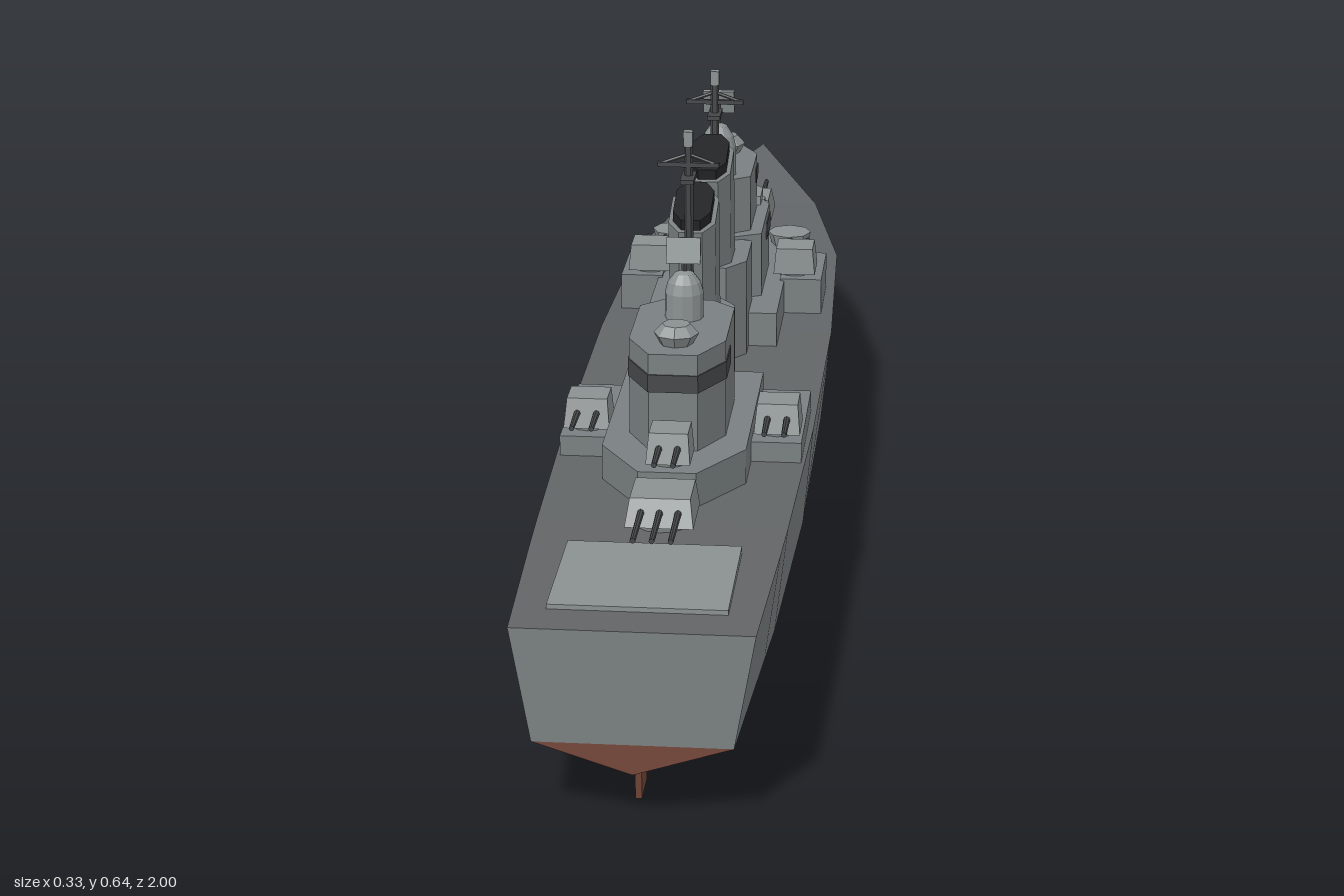
import * as THREE from 'three';

const mat = (color) => new THREE.MeshStandardMaterial({ color, flatShading: true });
const GREY = mat(0x7a8081), DECK = mat(0x626567), LIGHT = mat(0x8b9191), DARK = mat(0x45484a),
  BLACK = mat(0x232425), RED = mat(0x74463a);

export function createModel() {
  const root = new THREE.Group();
  const add = (name, geo, material, x = 0, y = 0, z = 0, parent = root) => {
    const m = new THREE.Mesh(geo, material);
    m.name = name;
    m.position.set(x, y, z);
    parent.add(m);
    return m;
  };
  const box = (name, w, h, d, x, y, z, material = GREY, parent = root) =>
    add(name, new THREE.BoxGeometry(w, h, d), material, x, y, z, parent);

  // Prism over a plan outline: half is a list of [x, z], mirrored across x = 0
  const prismGeo = (half, y0, y1) => {
    const pts = [...half, ...half.slice().reverse().map(([x, z]) => [-x, z])];
    const shape = new THREE.Shape(pts.map(([x, z]) => new THREE.Vector2(x, -z)));
    return new THREE.ExtrudeGeometry(shape, { depth: y1 - y0, bevelEnabled: false })
      .rotateX(-Math.PI / 2).translate(0, y0, 0);
  };
  const prism = (name, half, y0, y1, material = GREY) => add(name, prismGeo(half, y0, y1), material);
  // Rectangle with chamfered corners, from z0 to z1, chamfer lengths c0 and c1
  const chamfered = (w, z0, z1, c0, c1, n = 0.5) => [[w * n, z0], [w, z0 + c0], [w, z1 - c1], [w * n, z1]];

  // ---- Hull: stations run from bow to stern
  // deck z, deck y, deck half width, waterline z, waterline half width, keel z, keel y
  const stations = [
    [-1, 0.255, 0, -0.975, 0, -1, 0],
    [-0.72, 0.237, 0.105, -0.72, 0.087, -0.72, 0],
    [-0.46, 0.234, 0.154, -0.46, 0.135, -0.46, 0],
    [-0.1, 0.233, 0.166, -0.1, 0.152, -0.1, 0],
    [0.3, 0.234, 0.165, 0.3, 0.152, 0.3, 0],
    [0.66, 0.237, 0.156, 0.66, 0.14, 0.66, 0],
    [0.75, 0.238, 0.153, 0.75, 0.134, 0.75, 0.04],
    [1, 0.242, 0.143, 1, 0.118, 1, 0.062],
  ].map(([dz, dy, dw, wz, ww, kz, ky]) => ({ deck: [dw, dy, dz], water: [ww, 0.1, wz], keel: [0, ky, kz] }));
  const flip = ([x, y, z]) => [-x, y, z];
  const surface = (name, quads, material) => {
    const pos = quads.flatMap(([a, b, c, d]) => [a, b, c, a, c, d]).flat();
    const g = new THREE.BufferGeometry();
    g.setAttribute('position', new THREE.Float32BufferAttribute(pos, 3));
    g.computeVertexNormals();
    return add(name, g, material);
  };
  const strip = (up, low) => stations.slice(1).flatMap((s, i) => {
    const p = stations[i], q = [p[up], s[up], s[low], p[low]];
    return [q, q.map(flip).reverse()];
  });
  const end = stations[stations.length - 1];
  const transom = (up, low) => [flip(end[up]), flip(end[low]), end[low], end[up]];
  surface('upperHull', [...strip('deck', 'water'), transom('deck', 'water')], GREY);
  surface('lowerHull', [...strip('water', 'keel'), transom('water', 'keel')], RED);
  surface('deck', stations.slice(1).map((s, i) => {
    const p = stations[i];
    return [flip(p.deck), flip(s.deck), s.deck, p.deck];
  }), DECK);
  const rudder = new THREE.Shape([[-0.945, 0.075], [-0.935, 0], [-0.885, 0], [-0.87, 0.075]]
    .map(([z, y]) => new THREE.Vector2(z, y)));
  add('rudder', new THREE.ExtrudeGeometry(rudder, { depth: 0.008, bevelEnabled: false })
    .translate(0, 0, -0.004).rotateY(Math.PI / 2), RED);
  box('aftHatch', 0.212, 0.01, 0.195, 0, 0.242, 0.843, LIGHT);

  // ---- Gun turrets, local barrels point along +z
  const turret = (name, x, y, z, w, h, d, dir, barrels, len, baseY) => {
    const g = new THREE.Group();
    g.name = name;
    g.position.set(x, y, z);
    if (dir < 0) g.rotation.y = Math.PI;
    const geo = new THREE.BoxGeometry(w, h, d), p = geo.attributes.position;
    for (let i = 0; i < p.count; i++) {
      if (p.getY(i) < 0) continue;
      p.setX(i, p.getX(i) * 0.88);
      p.setZ(i, p.getZ(i) > 0 ? d * 0.32 : -d * 0.46);
    }
    add('turretHouse', geo, LIGHT, 0, h / 2, 0, g);
    for (let i = 0; i < barrels; i++) {
      const bx = (i - (barrels - 1) / 2) * w * (barrels === 3 ? 0.27 : 0.42);
      add('barrel', new THREE.CylinderGeometry(0.0035, 0.0045, len, 8).rotateX(Math.PI / 2),
        DARK, bx, h * 0.5, d * 0.35 + len / 2, g);
    }
    const bh = y - baseY;
    add('barbette', new THREE.CylinderGeometry(w * 0.4, w * 0.4, bh, 12), GREY, 0, -bh / 2, 0, g);
    root.add(g);
  };
  turret('forwardMainTurret', 0, 0.243, -0.645, 0.085, 0.032, 0.088, -1, 3, 0.09, 0.225);
  turret('raisedMainTurret', 0, 0.266, -0.51, 0.085, 0.035, 0.088, -1, 3, 0.09, 0.225);
  turret('aftMainTurret', 0, 0.247, 0.655, 0.085, 0.033, 0.088, 1, 3, 0.095, 0.225);
  turret('forwardSmallTurret', 0, 0.288, -0.395, 0.056, 0.038, 0.06, -1, 2, 0.06, 0.27);
  turret('aftSmallTurret', 0, 0.288, 0.56, 0.056, 0.038, 0.06, 1, 2, 0.06, 0.27);
  for (const s of [-1, 1]) {
    turret('forwardSideTurret', s * 0.106, 0.29, -0.218, 0.06, 0.038, 0.064, -1, 2, 0.055, 0.27);
    turret('aftSideTurret', s * 0.124, 0.267, 0.385, 0.06, 0.038, 0.06, 1, 2, 0.06, 0.25);
    box('forwardSponson', 0.06, 0.055, 0.13, s * 0.116, 0.2575, -0.245);
    box('aftSponson', 0.07, 0.03, 0.2, s * 0.122, 0.247, 0.33);
    // Light gun tubs beside the superstructure
    add('gunTub', new THREE.CylinderGeometry(0.032, 0.026, 0.02, 8), LIGHT, s * 0.087, 0.29, -0.365);
  }

  // ---- Aft superstructure
  prism('aftDeckhouse', chamfered(0.092, 0.217, 0.6, 0, 0.09, 0.4), 0.225, 0.282);
  prism('aftTower', chamfered(0.062, 0.3, 0.522, 0.03, 0.06), 0.28, 0.41);
  prism('aftWindowBand', chamfered(0.0635, 0.40, 0.524, 0, 0.061, 0.5), 0.36, 0.383, DARK);
  prism('aftFunnelBase', chamfered(0.052, 0.165, 0.325, 0.035, 0.01), 0.225, 0.37);

  // ---- Forward superstructure
  prism('forwardDeckhouse', [[0.08, -0.43], [0.115, -0.4], [0.117, -0.36], [0.092, -0.32], [0.092, -0.03]], 0.225, 0.282);
  prism('bridgeBase', chamfered(0.064, -0.33, -0.09, 0.07, 0.02, 0.4), 0.28, 0.375);
  prism('bridgeWindowBand', chamfered(0.0655, -0.332, -0.2, 0.07, 0, 0.4), 0.338, 0.362, DARK);
  prism('bridge', chamfered(0.047, -0.295, -0.105, 0.05, 0.02, 0.4), 0.37, 0.455);
  prism('upperWindowBand', chamfered(0.0485, -0.297, -0.21, 0.05, 0, 0.4), 0.42, 0.44, DARK);
  prism('bridgeWing', chamfered(0.052, -0.335, -0.25, 0.04, 0, 0.4), 0.375, 0.388, LIGHT);
  prism('forwardFunnelBase', chamfered(0.052, -0.1, 0.04, 0.01, 0.035), 0.225, 0.37);

  // ---- Funnels: raked prisms with a sloping top and dark cap
  const funnel = (name, z) => {
    const rake = (half, y0, y1, material, part) => {
      const g = prismGeo(half, y0, y1), p = g.attributes.position;
      for (let i = 0; i < p.count; i++) {
        const y = p.getY(i), zz = p.getZ(i);
        if (y > 0.4) p.setY(i, y - zz * 0.28);
        p.setZ(i, zz + (y - 0.36) * 0.13);
      }
      g.computeVertexNormals();
      add(name + part, g, material, 0, 0, z);
    };
    rake(chamfered(0.031, -0.052, 0.052, 0.022, 0.022), 0.36, 0.513, GREY, 'Body');
    rake(chamfered(0.025, -0.046, 0.046, 0.02, 0.02), 0.505, 0.527, BLACK, 'Cap');
  };
  funnel('forwardFunnel', -0.018);
  funnel('aftFunnel', 0.218);

  // ---- Directors: domed tower with a radar screen, and a low faceted one
  const domed = (name, y, z, h, face) => {
    const r = 0.025;
    const profile = [[0.001, h], [r * 0.5, h * 0.93], [r * 0.85, h * 0.76], [r, h * 0.55], [r, 0]]
      .reverse().map(([a, b]) => new THREE.Vector2(a, b));
    add(name, new THREE.LatheGeometry(profile, 12), LIGHT, 0, y, z);
    add(name + 'Post', new THREE.CylinderGeometry(0.004, 0.004, 0.04, 6), DARK, 0, y + h + 0.012, z);
    const screen = box(name + 'Screen', 0.044, 0.034, 0.006, 0, y + h + 0.028, z + face * 0.008, LIGHT);
    screen.rotation.x = -face * 0.25;
  };
  domed('aftDirector', 0.408, 0.37, 0.066, 1);
  domed('forwardDirector', 0.452, -0.135, 0.08, -1);
  const low = (name, y, z) => {
    add(name, new THREE.CylinderGeometry(0.029, 0.02, 0.016, 8), LIGHT, 0, y + 0.008, z);
    add(name + 'Roof', new THREE.CylinderGeometry(0.018, 0.029, 0.012, 8), LIGHT, 0, y + 0.022, z);
  };
  low('aftLowDirector', 0.408, 0.475);
  low('forwardLowDirector', 0.453, -0.25);

  // ---- Masts with braced yards
  const rod = (name, a, b, r) => {
    const path = new THREE.LineCurve3(new THREE.Vector3(...a), new THREE.Vector3(...b));
    add(name, new THREE.TubeGeometry(path, 1, r, 6), DARK);
  };
  const mast = (name, z, y0, y1, yard, lean) => {
    rod(name, [0, y0, z], [0, y1, z + lean], 0.006);
    box(name + 'Yard', 0.08, 0.006, 0.007, 0, yard, z + lean, DARK);
    for (const s of [-1, 1]) rod(name + 'Brace', [s * 0.038, yard, z + lean], [0, yard + 0.014, z + lean], 0.0025);
    box(name + 'Platform', 0.018, 0.006, 0.045, 0, yard - 0.018, z + lean, DARK);
    box(name + 'Head', 0.012, 0.02, 0.012, 0, y1 - 0.01, z + lean, LIGHT);
  };
  mast('forwardMast', -0.08, 0.36, 0.622, 0.577, 0.003);
  mast('aftMast', 0.3, 0.36, 0.643, 0.598, 0.012);

  return root;
}
